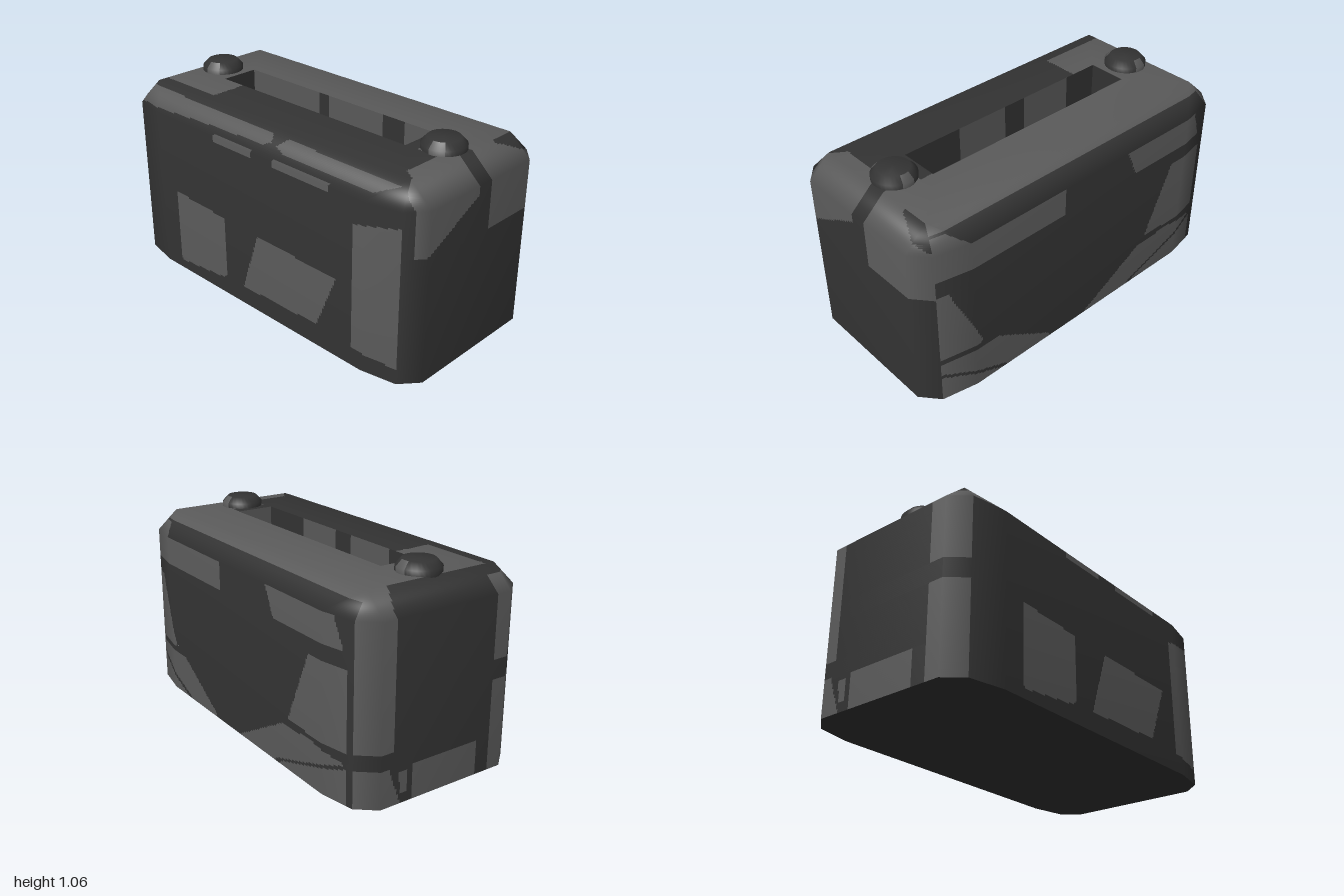
import * as THREE from 'three';

const dark = new THREE.MeshStandardMaterial({ name: 'charcoal', color: 0x333333 });
const light = new THREE.MeshStandardMaterial({ name: 'grey', color: 0x5a5a5a });
const V = (x, y, z) => new THREE.Vector3(x, y, z);
const rect = (x0, y0, x1, y1) => [[x0, y0], [x1, y0], [x1, y1], [x0, y1]];

// Light camouflage patches, drawn flat per side: front/back in (x, y), left/right in (z, y), top/floor in (x, z)
const patches = {
  front: [
    [[-0.415, 0.66], [-0.37, 0.665], [-0.02, 0.85], [-0.025, 1], [-0.38, 1], [-0.415, 0.93]],
    [[0.065, 0.64], [0.47, 0.635], [0.47, 0.93], [0.44, 0.9], [0.225, 0.99], [0.22, 1], [0.065, 1]],
  ],
  right: [
    [[0.93, 0.74], [0.16, 0.74], [0.16, 0.89], [0.74, 0.89], [0.82, 0.945], [0.93, 0.95]],
    rect(-0.9, 0.955, 0.9, 1.01),
    [[-0.27, 0.89], [-0.8, 0.89], [-0.86, 0.74], [-0.34, 0.74]],
    [[0.93, 0.655], [0.86, 0.65], [0.69, 0.28], [0.7, 0.265], [0.93, 0.255]],
    [[-0.63, 0.66], [-0.88, 0.66], [-0.88, 0.255], [-0.455, 0.27]],
    [[0.93, 0.235], [0.59, 0.23], [0.25, 0.02], [0.25, -1], [0.52, -0.01], [0.56, 0.02], [0.93, 0.17]],
    [[0.93, 0.15], [0.56, 0], [0.56, -1], [0.93, -1]],
    [[0.02, -0.01], [-0.4, 0.225], [-0.64, 0.24], [-0.88, 0.2], [-0.36, 0.02], [-0.32, -0.01]],
    [[-0.36, -0.01], [-0.39, 0.02], [-0.88, 0.18], [-0.88, -0.01]],
  ],
  back: [
    [[0.47, 0.27], [0.3, 0.27], [0.3, 0.9], [0.26, 1], [0.47, 1]],
    [[0.47, 0.19], [0.32, 0.19], [0.25, -0.01], [0.47, -0.01]],
    [[0.27, 0.16], [0.22, 0.16], [0.22, 0.05], [0.25, 0.05]],
    rect(-0.2, -0.01, 0.19, 0.18),
    rect(-0.47, 0.57, -0.29, 0.96),
    rect(-0.47, -0.01, -0.29, 0.47),
  ],
  left: [
    [[-0.61, 0.07], [-0.59, 0.05], [-0.24, 0.09], [-0.215, 0.13], [-0.215, 0.45], [-0.61, 0.47]],
    [[0.03, 0.44], [0.57, 0.43], [0.44, 0.12], [-0.09, 0.1]],
    [[0.67, 0.1], [0.93, 0.08], [0.93, 0.81], [0.67, 0.76]],
    [[-0.93, 0.9], [-0.4, 0.92], [0.04, 0.93], [0.08, 0.945], [0.06, 0.975], [-0.93, 0.98]],
    [[0.12, 0.94], [0.18, 0.925], [0.75, 0.925], [0.86, 0.97], [0.16, 0.975]],
    rect(-0.28, 0.86, 0, 0.9),
    rect(0.15, 0.86, 0.52, 0.9),
  ],
  top: [
    rect(0.1, -0.89, 0.37, 0.89),
    [[-0.31, -0.89], [0.1, -0.89], [0.1, -0.64], [-0.1, -0.64], [-0.1, -0.49], [-0.31, -0.49]],
    [[-0.36, 0.89], [-0.31, 0.81], [-0.1, 0.81], [-0.1, 0.7], [0.1, 0.7], [0.1, 0.89],
      [0.06, 0.89], [0.06, 0.8], [-0.02, 0.8], [-0.02, 0.89]],
  ],
  floor: [rect(-0.2, -0.09, 0.2, 0.3), [[0.11, 0.43], [0.02, 0.64], [0.11, 0.64]]],
  slotFront: [rect(-1, 0, 1, 1.1)],
  slotRight: [rect(-0.7, 0, -0.13, 1.1), rect(-0.06, 0, 0.31, 1.1), rect(0.45, 0, 0.7, 1.1)],
  slotBack: [],
  slotLeft: [rect(-0.44, 0, -0.13, 1.1), rect(0, 0, 0.3, 1.1)],
};
const flatten = side =>
  /left|right/i.test(side) ? p => [p.z, p.y] : /top|floor/.test(side) ? p => [p.x, p.z] : p => [p.x, p.y];

function inside([x, y], poly) {
  let hit = false;
  poly.forEach(([x1, y1], i) => {
    const [x2, y2] = poly[(i + 1) % poly.length];
    if ((y1 > y) !== (y2 > y) && x < x1 + ((y - y1) * (x2 - x1)) / (y2 - y1)) hit = !hit;
  });
  return hit;
}

const mix = (c, u, v) =>
  c[0].clone().lerp(c[1], u).lerp(c[3].clone().lerp(c[2], u), v);
const areaNormal = c => c[2].clone().sub(c[0]).cross(c[3].clone().sub(c[1]));
const key = p => p.toArray().map(n => n.toFixed(3)).join();

// Turns four-cornered facets into one two-colour mesh, each cut into rows and colour runs
function paintedMesh(name, facets, smooth) {
  const sums = new Map();
  for (const { c } of facets) for (const k of new Set(c.map(key)))
    sums.set(k, (sums.get(k) || V(0, 0, 0)).add(areaNormal(c)));
  const pos = [[], []], nor = [[], []];
  for (const { c, side } of facets) {
    const n = c.map(p => (smooth ? sums.get(key(p)) : areaNormal(c)).clone().normalize());
    const steps = (a, b, d, e) => Math.max(1, Math.ceil(Math.max(a.distanceTo(b), d.distanceTo(e)) / 0.01));
    const nu = steps(c[0], c[1], c[3], c[2]), nv = steps(c[0], c[3], c[1], c[2]);
    const flat = flatten(side);
    const tone = (i, j) => {
      const p = flat(mix(c, (i + 0.5) / nu, (j + 0.5) / nv));
      return patches[side].some(poly => inside(p, poly)) ? 1 : 0;
    };
    for (let j = 0; j < nv; j++) {
      let start = 0, t = tone(0, j);
      for (let i = 1; i <= nu; i++) {
        const next = i < nu ? tone(i, j) : -1;
        if (next === t) continue;
        const u0 = start / nu, u1 = i / nu, v0 = j / nv, v1 = (j + 1) / nv;
        for (const [u, v] of [[u0, v0], [u1, v0], [u1, v1], [u0, v0], [u1, v1], [u0, v1]]) {
          pos[t].push(...mix(c, u, v).toArray());
          nor[t].push(...mix(n, u, v).normalize().toArray());
        }
        start = i;
        t = next;
      }
    }
  }
  const g = new THREE.BufferGeometry();
  g.setAttribute('position', new THREE.Float32BufferAttribute(pos[0].concat(pos[1]), 3));
  g.setAttribute('normal', new THREE.Float32BufferAttribute(nor[0].concat(nor[1]), 3));
  g.addGroup(0, pos[0].length / 3, 0);
  g.addGroup(pos[0].length / 3, pos[1].length / 3, 1);
  const mesh = new THREE.Mesh(g, [dark, light]);
  mesh.name = name;
  return mesh;
}

// Low round knob with two light patches on its rim
function knob(name, z) {
  const group = new THREE.Group();
  group.name = name;
  const rim = [[0.11, 0.99], [0.11, 1.025], [0.08, 1.057]];
  const lathe = (pts, seg, from, span, mat, label) => {
    const m = new THREE.Mesh(new THREE.LatheGeometry(pts.map(p => new THREE.Vector2(...p)), seg,
      THREE.MathUtils.degToRad(from), THREE.MathUtils.degToRad(span)), mat);
    m.name = label;
    group.add(m);
  };
  lathe([...rim, [0, 1.06]], 32, 0, 360, dark, 'knobBody');
  const plate = rim.map(([r, y]) => [r + 0.003, y + 0.001]);
  lathe(plate, 6, 74, 32, light, 'knobPatchLeft');
  lathe(plate, 6, 270, 40, light, 'knobPatchRight');
  group.position.z = z;
  return group;
}

export function createModel() {
  const model = new THREE.Group();
  const sides = ['front', 'right', 'back', 'left'];

  // Footprint with two-step bevelled corners, running round from the front
  const corner = [[0.365, 1], [0.46, 0.92], [0.497, 0.73]];
  const foot = [[1, 1], [1, -1], [-1, -1], [-1, 1]].flatMap(([sx, sz]) => {
    const pts = corner.map(([x, z]) => [x * sx, z * sz]);
    return sx * sz > 0 ? pts : pts.reverse();
  });
  const ring = (x, y, z0, z1) => [V(x, y, z1), V(x, y, z0), V(-x, y, z0), V(-x, y, z1)];
  const rim = ring(0.365, 1, -0.88, 0.88);
  const slotTop = ring(0.105, 1, -0.64, 0.63);
  const slotLow = ring(0.105, 0.35, -0.64, 0.63);

  // Walls and the sloping shoulder above them
  const shell = [];
  foot.forEach(([x, z], k) => {
    const m = (k + 1) % 12, [x2, z2] = foot[m], side = sides[Math.floor((k + 2) / 3) % 4];
    const a = V(x, 0.89, z), b = V(x2, 0.89, z2);
    shell.push({ side, c: [V(x, 0, z), V(x2, 0, z2), b, a] });
    shell.push({ side, c: [a, b, rim[Math.floor(m / 3)], rim[Math.floor(k / 3)]] });
  });

  // Top deck around the slot, and the slot's walls and floor
  const slot = [{ side: 'floor', c: slotLow }];
  const slotSides = ['slotRight', 'slotBack', 'slotLeft', 'slotFront'];
  for (let i = 0; i < 4; i++) {
    const j = (i + 1) % 4;
    shell.push({ side: 'top', c: [rim[i], rim[j], slotTop[j], slotTop[i]] });
    slot.push({ side: slotSides[i], c: [slotLow[j], slotLow[i], slotTop[i], slotTop[j]] });
  }
  model.add(paintedMesh('bodyShell', shell, true), paintedMesh('slot', slot, false));

  // Flat underside
  const base = new THREE.Mesh(
    new THREE.ShapeGeometry(new THREE.Shape(foot.map(p => new THREE.Vector2(...p)))).rotateX(Math.PI / 2), dark);
  base.name = 'underside';
  model.add(base, knob('frontKnob', 0.77), knob('backKnob', -0.78));
  return model;
}
